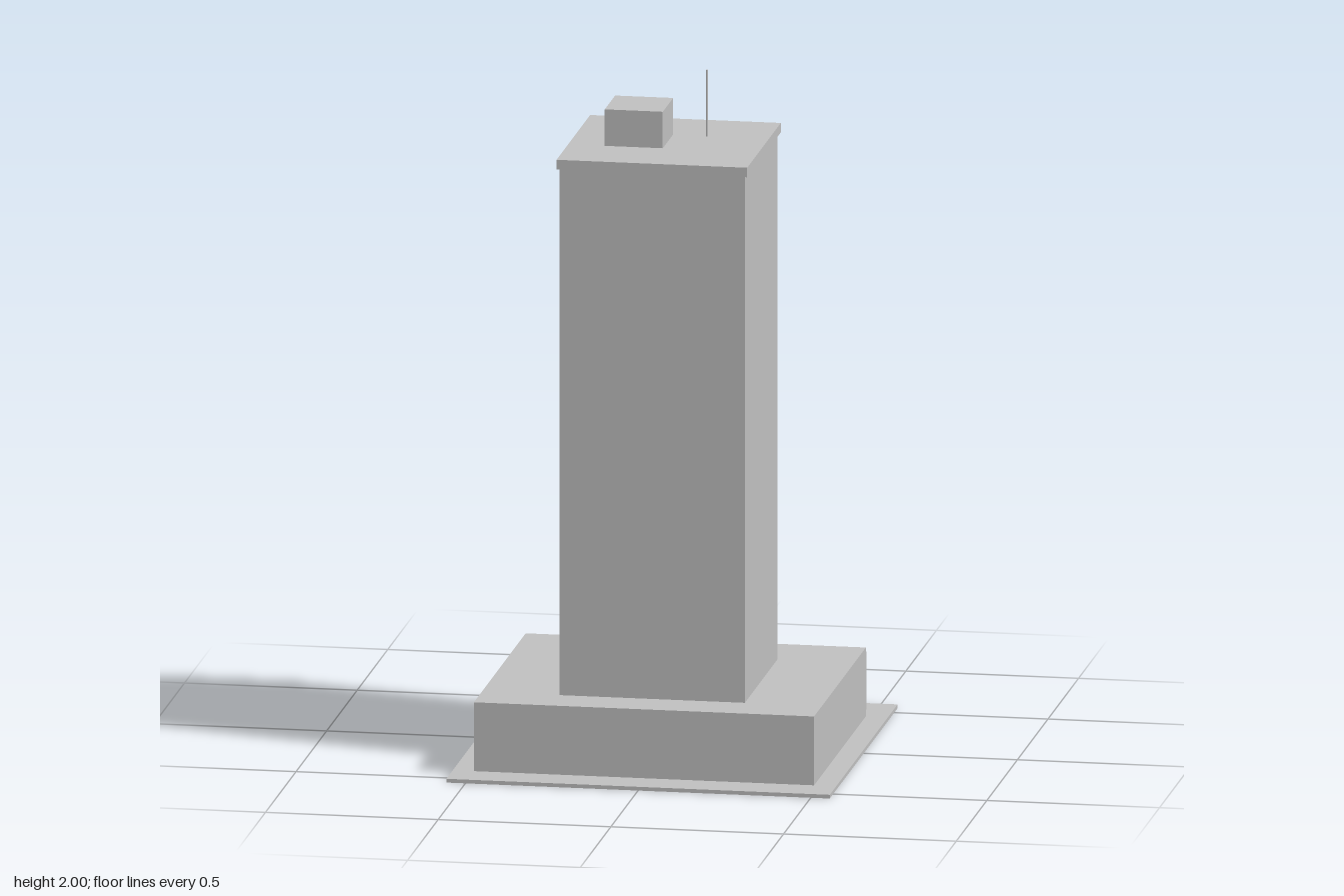
import * as THREE from 'three';

export function createModel() {
  const group = new THREE.Group();
  const concrete = new THREE.MeshStandardMaterial({ color: 0xc0c0c0 });
  concrete.name = 'concrete grey';

  // Box given by its extents on each axis
  function block(name, [x0, x1], [y0, y1], [z0, z1]) {
    const mesh = new THREE.Mesh(new THREE.BoxGeometry(x1 - x0, y1 - y0, z1 - z0), concrete);
    mesh.position.set((x0 + x1) / 2, (y0 + y1) / 2, (z0 + z1) / 2);
    mesh.name = name;
    group.add(mesh);
  }

  // Ground slab and wide lower storeys
  block('groundSlab', [-0.555, 0.555], [0, 0.011], [-0.555, 0.555]);
  block('podium', [-0.494, 0.491], [0.011, 0.213], [-0.397, 0.45]);

  // Shopfront on the back of the podium, with entrance and canopy
  block('shopfront', [-0.494, 0.491], [0.03, 0.2], [-0.405, -0.397]);
  block('entrance', [-0.11, 0.11], [0.011, 0.03], [-0.405, -0.397]);
  block('entranceSign', [-0.168, 0.168], [0.188, 0.204], [-0.412, -0.397]);

  // Tower shaft and overhanging roof
  block('tower', [-0.268, 0.268], [0.213, 1.76], [-0.208, 0.322]);
  block('roofCap', [-0.276, 0.276], [1.757, 1.785], [-0.22, 0.33]);

  // Rooftop plant room and aerial
  block('plantRoom', [-0.17, -0.002], [1.785, 1.892], [-0.03, 0.14]);
  const aerial = new THREE.Mesh(new THREE.CylinderGeometry(0.003, 0.003, 0.195, 8), concrete);
  aerial.position.set(0.111, 1.9025, 0.055);
  aerial.name = 'aerial';
  group.add(aerial);

  return group;
}
